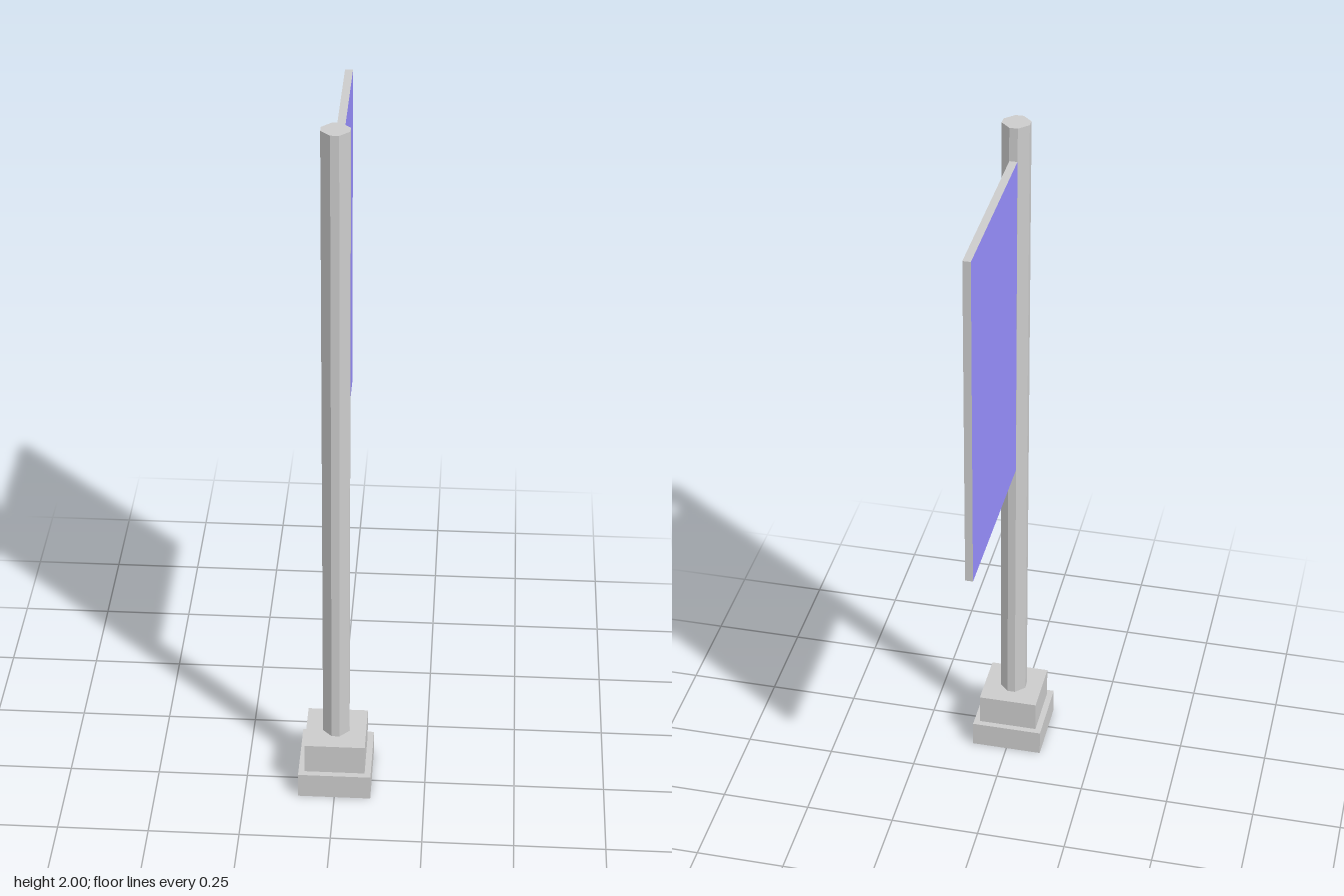
import * as THREE from 'three';

const POLE_Z = 0.228;

export function createModel() {
  const group = new THREE.Group();
  const grey = new THREE.MeshStandardMaterial({ color: 0xcccccc, flatShading: true });
  const purple = new THREE.MeshStandardMaterial({ color: 0x988fff, flatShading: true });

  function add(name, geometry, material, x, y, z) {
    const mesh = new THREE.Mesh(geometry, material);
    mesh.name = name;
    mesh.position.set(x, y, z);
    group.add(mesh);
  }

  // Stepped square foot
  add('lowerBase', new THREE.BoxGeometry(0.201, 0.075, 0.201), grey, 0, 0.0375, POLE_Z);
  add('upperBase', new THREE.BoxGeometry(0.167, 0.09, 0.167), grey, 0, 0.12, POLE_Z);

  // Pole: a square section with wide chamfers
  const r = 0.0365, c = 0.011;
  const section = new THREE.Shape([
    [r, -c], [r, c], [c, r], [-c, r], [-r, c], [-r, -c], [-c, -r], [c, -r],
  ].map(([x, y]) => new THREE.Vector2(x, y)));
  const pole = new THREE.ExtrudeGeometry(section, { depth: 1.835, bevelEnabled: false });
  pole.rotateX(-Math.PI / 2);
  add('pole', pole, grey, 0, 0.165, POLE_Z);

  // Banner panel: coloured faces, grey edges
  const front = POLE_Z - r, back = -0.329;
  add('banner', new THREE.BoxGeometry(0.021, 0.952, front - back),
    [purple, purple, grey, grey, grey, grey], 0, 1.43, (front + back) / 2);

  return group;
}
